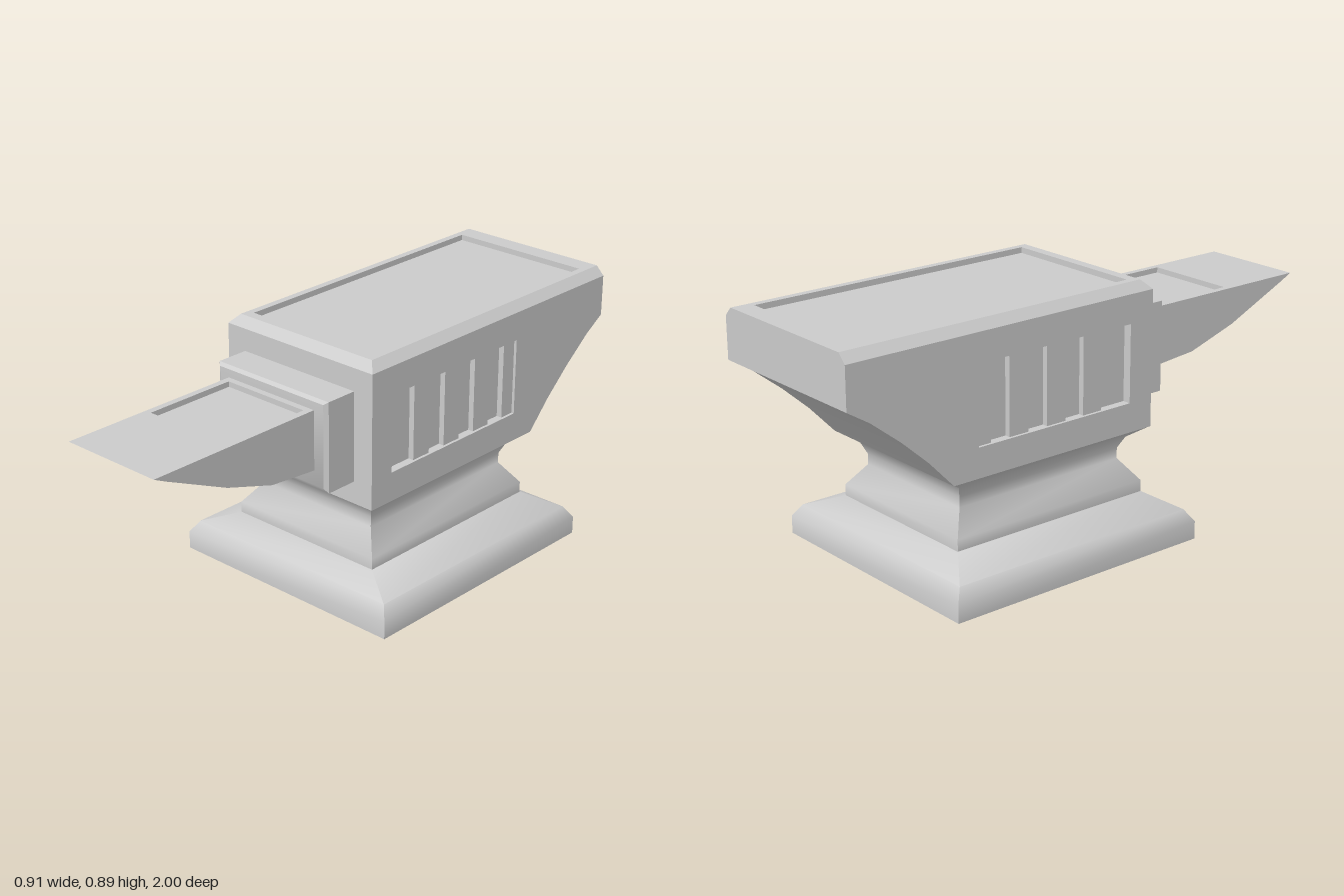
import * as THREE from 'three';
import { toCreasedNormals } from 'three/addons/utils/BufferGeometryUtils.js';

const material = new THREE.MeshStandardMaterial({ color: 0xcccccc });

// Closed stack of rectangles, each [half width, back z, front z, y]
function loft(sections) {
  const pos = [], idx = [];
  for (const [hx, z0, z1, y] of sections) {
    pos.push(-hx, y, z1, hx, y, z1, hx, y, z0, -hx, y, z0);
  }
  for (let s = 0; s < sections.length - 1; s++) {
    for (let i = 0; i < 4; i++) {
      const a = s * 4 + i, b = s * 4 + (i + 1) % 4;
      idx.push(a, b, b + 4, a, b + 4, a + 4);
    }
  }
  const t = (sections.length - 1) * 4;
  idx.push(0, 2, 1, 0, 3, 2, t, t + 1, t + 2, t, t + 2, t + 3);
  const g = new THREE.BufferGeometry();
  g.setAttribute('position', new THREE.Float32BufferAttribute(pos, 3));
  g.setIndex(idx);
  return toCreasedNormals(g, 0.7);
}

// Side profile of [z, y] points, extruded along x between x0 and x1
function extrudeSide(points, x0, x1, hole) {
  const shape = new THREE.Shape(points.map(p => new THREE.Vector2(...p)));
  if (hole) shape.holes.push(new THREE.Path(hole.map(p => new THREE.Vector2(...p))));
  const g = new THREE.ExtrudeGeometry(shape, { depth: x1 - x0, bevelEnabled: false });
  g.rotateY(-Math.PI / 2).translate(x1, 0, 0);
  return toCreasedNormals(g, 0.5);
}

export function createModel() {
  const model = new THREE.Group();
  model.name = 'anvil';
  const add = (name, geometry) => {
    const mesh = new THREE.Mesh(geometry, material);
    mesh.name = name;
    model.add(mesh);
    return mesh;
  };

  // Stepped foot and waist
  add('base', loft([
    [0.455, -0.71, 0.29, 0],
    [0.455, -0.71, 0.29, 0.063],
    [0.427, -0.682, 0.262, 0.105],
    [0.303, -0.592, 0.182, 0.153],
    [0.303, -0.592, 0.182, 0.192],
    [0.245, -0.538, 0.125, 0.268],
    [0.245, -0.538, 0.125, 0.305],
    [0.265, -0.555, 0.145, 0.345],
    [0.32, -0.615, 0.205, 0.384],
  ]));

  // Body with curved heel: core plus side plates that have a window
  const profile = [
    [0.205, 0.383], [0.205, 0.855], [-1, 0.855], [-1, 0.71],
    [-0.92, 0.66], [-0.81, 0.573], [-0.71, 0.483], [-0.615, 0.383],
  ];
  const window = [[0.11, 0.485], [0.11, 0.755], [-0.518, 0.755], [-0.518, 0.485]];
  add('bodyCore', extrudeSide(profile, -0.29, 0.29));
  for (const side of [-1, 1]) {
    const name = side > 0 ? 'left' : 'right';
    const x0 = side > 0 ? 0.29 : -0.32;
    add(name + 'SidePlate', extrudeSide(profile, x0, x0 + 0.03, window));
    // Raised ribs inside the window
    for (let i = 0; i < 4; i++) {
      const rib = add(name + 'Rib' + (i + 1), new THREE.BoxGeometry(0.02, 0.27, 0.077));
      rib.position.set(side * 0.3, 0.62, -0.045 - i * 0.152);
    }
  }

  // Chamfered top face with a shallow recess
  add('face', loft([
    [0.32, -1, 0.205, 0.855],
    [0.29, -1, 0.175, 0.886],
    [0.265, -0.93, 0.14, 0.886],
    [0.265, -0.93, 0.14, 0.866],
  ]));

  // Bevelled collar behind the horn
  add('collar', loft([
    [0.243, -0.776, -0.461, 0.19],
    [0.243, -0.776, -0.461, 0.321],
    [0.23, -0.766, -0.477, 0.332],
  ]).rotateX(Math.PI / 2));

  // Horn with a curved underside and a recessed top
  add('horn', extrudeSide([
    [0.3, 0.527], [0.35, 0.53], [0.52, 0.545], [0.71, 0.605], [0.955, 0.715], [0.3, 0.715],
  ], -0.19, 0.19));
  add('hornTop', loft([
    [0.19, 0.3, 0.955, 0.715],
    [0.19, 0.3, 1, 0.737],
    [0.167, 0.355, 0.69, 0.737],
    [0.167, 0.355, 0.69, 0.718],
  ]));

  return model;
}
